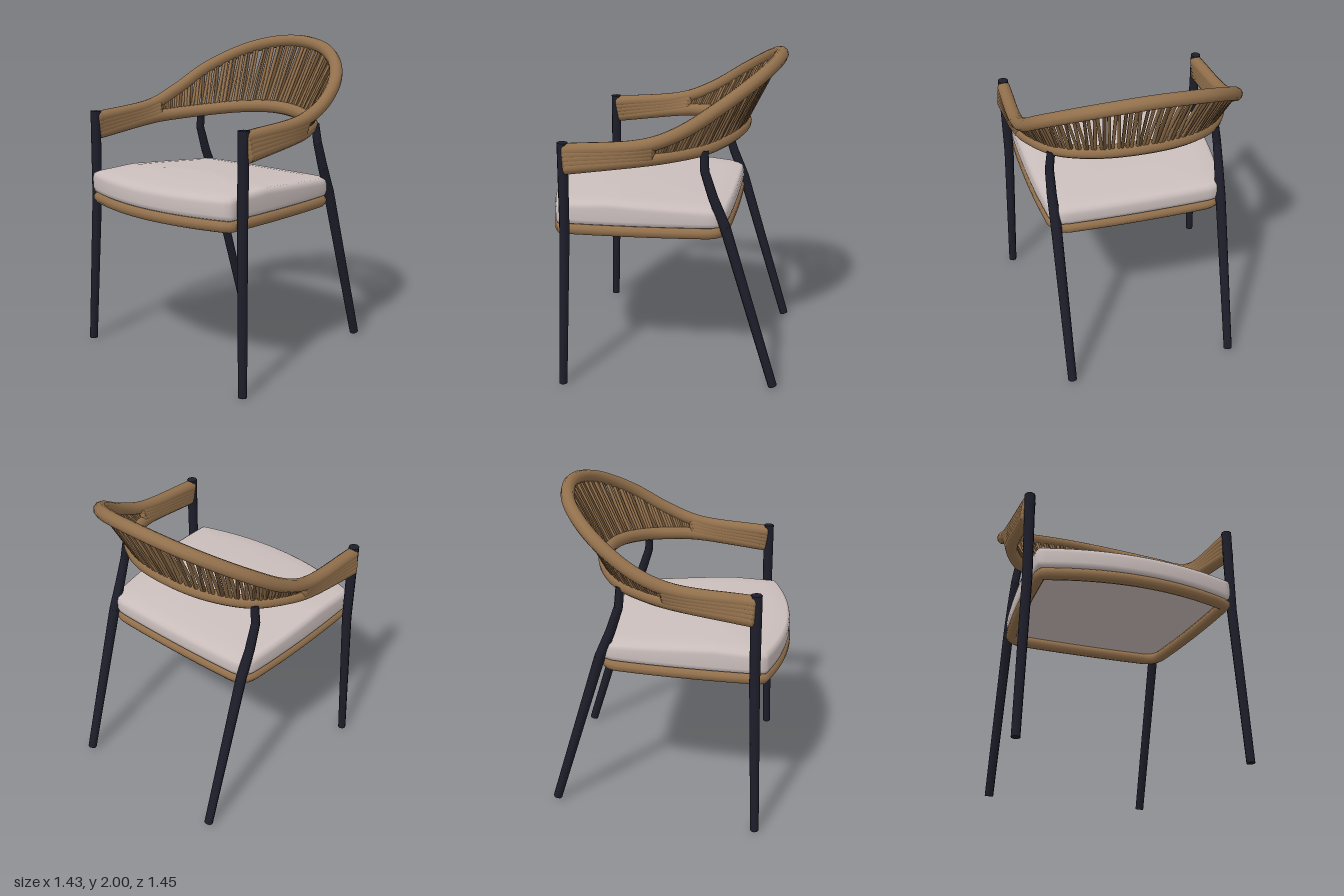
import * as THREE from 'three';

const mat = (name, color) => {
  const m = new THREE.MeshStandardMaterial({ color });
  m.name = name;
  return m;
};
const V = (x, y, z) => new THREE.Vector3(x, y, z);

export function createModel() {
  const rattan = mat('rattan brown', 0x92704c);
  const shade = mat('dark rattan', 0x6e5338);
  const metal = mat('dark metal', 0x1d1e2a);
  const fabric = mat('cushion fabric', 0xcbbfbd);
  const chair = new THREE.Group();
  chair.name = 'armchair';

  const add = (name, geo, material, parent = chair) => {
    const m = new THREE.Mesh(geo, material);
    m.name = name;
    parent.add(m);
    return m;
  };
  // Straight rod from a to b
  const rod = (name, a, b, ra, rb, material, parent, sides = 8) => {
    const dir = b.clone().sub(a);
    const m = add(name, new THREE.CylinderGeometry(rb, ra, dir.length(), sides), material, parent);
    m.position.copy(a).addScaledVector(dir, 0.5);
    m.quaternion.setFromUnitVectors(V(0, 1, 0), dir.normalize());
  };
  // Curve mirrored from the left half to the right half
  const mirrored = (half) => new THREE.CatmullRomCurve3(
    half.concat(half.slice(0, -1).reverse().map((p) => V(-p.x, p.y, p.z))), false, 'centripetal');

  // Upper and lower rails, wrapping from arm to arm
  const upper = mirrored([V(0.652, 1.485, 0.53), V(0.655, 1.535, 0.06), V(0.643, 1.62, -0.15),
    V(0.56, 1.77, -0.38), V(0.33, 1.905, -0.575), V(0, 1.957, -0.645)]);
  const lower = mirrored([V(0.664, 1.386, 0.52), V(0.635, 1.45, 0.06), V(0.585, 1.465, -0.08),
    V(0.475, 1.485, -0.25), V(0.26, 1.515, -0.385), V(0, 1.53, -0.432)]);
  add('topRail', new THREE.TubeGeometry(upper, 80, 0.041, 10), rattan);
  add('lowerRail', new THREE.TubeGeometry(lower, 80, 0.041, 10), rattan);

  // Woven strands between the rails
  const weave = new THREE.Group();
  weave.name = 'wovenBack';
  chair.add(weave);
  let seed = 7;
  const rnd = () => (seed = (seed * 16807) % 2147483647) / 2147483647;
  const count = 88;
  for (let i = 0; i <= count; i++) {
    const t = 0.1 + (0.8 * i) / count;
    const lean = (i % 2 ? 0.0022 : -0.0022) + (rnd() - 0.5) * 0.006;
    const r = 0.009 + rnd() * 0.003;
    rod('strand', lower.getPoint(t - lean), upper.getPoint(t + lean), r, r,
      i % 4 === 3 ? shade : rattan, weave, 6);
  }

  for (const s of [1, -1]) {
    const side = s > 0 ? 'left' : 'right';

    // Solid armrest: wrapped layers filling the space between the rails
    const arm = new THREE.Group();
    arm.name = side + 'Armrest';
    chair.add(arm);
    for (const k of [0, 0.25, 0.5, 0.75, 1]) {
      const pts = [0, 0.025, 0.05, 0.075, 0.1, 0.118].map((t) => {
        const u = s > 0 ? t : 1 - t;
        return lower.getPoint(u).lerp(upper.getPoint(u), k);
      });
      add('armLayer', new THREE.TubeGeometry(new THREE.CatmullRomCurve3(pts), 14, 0.041, 12), rattan, arm);
      for (const end of [pts[0], pts[5]]) {
        const cap = add('armEnd', new THREE.SphereGeometry(0.041, 12, 8), rattan, arm);
        cap.position.copy(end);
        cap.scale.z = 0.5;
      }
    }

    // Legs: rods joined by spheres at the bends
    const leg = (name, pts, radii) => {
      const g = new THREE.Group();
      g.name = name;
      chair.add(g);
      for (let i = 0; i < pts.length - 1; i++) {
        rod('legSection', pts[i], pts[i + 1], radii[i], radii[i + 1], metal, g);
        if (i) add('legBend', new THREE.SphereGeometry(radii[i], 8, 6), metal, g).position.copy(pts[i]);
      }
    };
    leg(side + 'FrontLeg', [V(s * 0.69, 0, 0.585), V(s * 0.652, 0.98, 0.55), V(s * 0.652, 1.53, 0.543)],
      [0.026, 0.031, 0.033]);
    leg(side + 'BackLeg', [V(s * 0.525, 0.015, -0.695), V(s * 0.522, 1.03, -0.385),
      V(s * 0.525, 1.2, -0.315), V(s * 0.522, 1.36, -0.262), V(s * 0.505, 1.48, -0.255)],
      [0.028, 0.033, 0.03, 0.027, 0.025]);
  }

  // Seat outline: bowed front, tapering sides, rounded back corners (x, z)
  const plan = new THREE.Shape();
  plan.moveTo(0.615, 0.61);
  plan.quadraticCurveTo(0.61, 0.1, 0.555, -0.3);
  plan.quadraticCurveTo(0.54, -0.38, 0.46, -0.39);
  plan.quadraticCurveTo(0, -0.41, -0.46, -0.39);
  plan.quadraticCurveTo(-0.54, -0.38, -0.555, -0.3);
  plan.quadraticCurveTo(-0.61, 0.1, -0.615, 0.61);
  plan.quadraticCurveTo(0, 0.84, 0.615, 0.61);
  const outline = plan.getSpacedPoints(96).slice(0, -1);
  const ZC = 0.16;

  // Seat frame rail
  const loop = new THREE.CatmullRomCurve3(
    outline.map((p) => V(p.x * 0.95, 0.985, ZC + (p.y - ZC) * 0.95)), true);
  add('seatFrame', new THREE.TubeGeometry(loop, 120, 0.036, 10, true), rattan);

  // Cushion lofted from scaled outlines: [scale, height], top falling to front and back
  const rings = [[0.001, 1.02], [0.6, 1.02], [0.96, 1.015], [0.99, 1.025], [1, 1.05], [1, 1.13],
    [0.99, 1.155], [0.96, 1.167], [0.8, 1.175], [0.4, 1.178], [0.001, 1.178]];
  const n = outline.length, pos = [], idx = [];
  rings.forEach(([k, y], r) => outline.forEach((p, i) => {
    const z = ZC + (p.y - ZC) * k;
    const drop = z < 0.3 ? 0.055 * (0.3 - z) : 0.05 * (z - 0.3);
    pos.push(p.x * k, y - (y > 1.1 ? drop : 0), z);
    if (r) {
      const j = (i + 1) % n, a = (r - 1) * n, b = r * n;
      idx.push(a + i, a + j, b + i, a + j, b + j, b + i);
    }
  }));
  // The outline runs from +x toward -z, so the rings wind outward
  const cushion = new THREE.BufferGeometry();
  cushion.setAttribute('position', new THREE.Float32BufferAttribute(pos, 3));
  cushion.setIndex(idx);
  cushion.computeVertexNormals();
  add('seatCushion', cushion, fabric);

  return chair;
}
